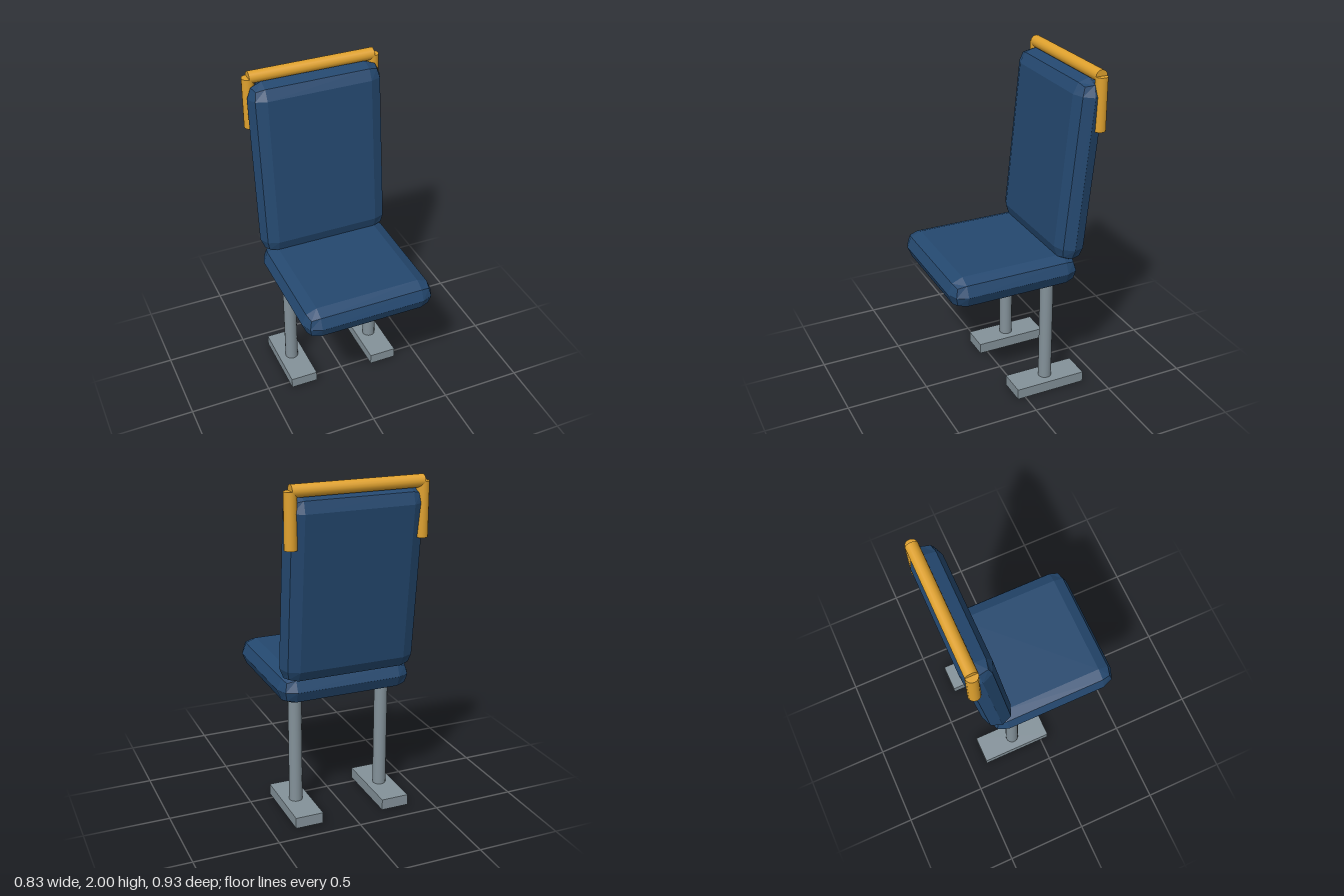
import * as THREE from 'three';
import { RoundedBoxGeometry } from 'three/addons/geometries/RoundedBoxGeometry.js';

export function createModel() {
  const group = new THREE.Group();
  const fabric = new THREE.MeshStandardMaterial({ name: 'blue fabric', color: 0x24486f });
  const metal = new THREE.MeshStandardMaterial({ name: 'grey metal', color: 0x84929a });
  const rail = new THREE.MeshStandardMaterial({ name: 'yellow rail', color: 0xe0a22e });

  function add(name, geometry, material, x, y, z) {
    const mesh = new THREE.Mesh(geometry, material);
    mesh.name = name;
    mesh.position.set(x, y, z);
    group.add(mesh);
    return mesh;
  }

  // Coarsely rounded, faceted cushion
  function cushion(w, h, d) {
    const geometry = new RoundedBoxGeometry(w, h, d, 1, 0.09);
    geometry.computeVertexNormals();
    return geometry;
  }

  add('seatCushion', cushion(0.808, 0.182, 0.804), fabric, 0, 0.812, 0.068);
  const back = add('backrest', cushion(0.808, 1.083, 0.182), fabric, 0, 1.406, -0.328);
  back.rotation.x = -0.1;

  // Grab rail over the backrest
  const railRadius = 0.036, railY = 1.964, railZ = -0.418, postHeight = 0.307;
  const bar = add('grabBar', new THREE.CylinderGeometry(railRadius, railRadius, 0.758, 16), rail, 0, railY, railZ);
  bar.rotation.z = Math.PI / 2;

  // Mirrored rail posts, legs and feet
  for (const [side, s] of [['left', 1], ['right', -1]]) {
    add(side + 'RailPost', new THREE.CylinderGeometry(railRadius, railRadius, postHeight, 16), rail,
      s * 0.379, railY - postHeight / 2, railZ);
    add(side + 'Leg', new THREE.CylinderGeometry(0.04, 0.04, 0.7, 16), metal, s * 0.274, 0.41, -0.173);
    add(side + 'Foot', new THREE.BoxGeometry(0.168, 0.066, 0.444), metal, s * 0.274, 0.033, -0.173);
  }
  return group;
}
